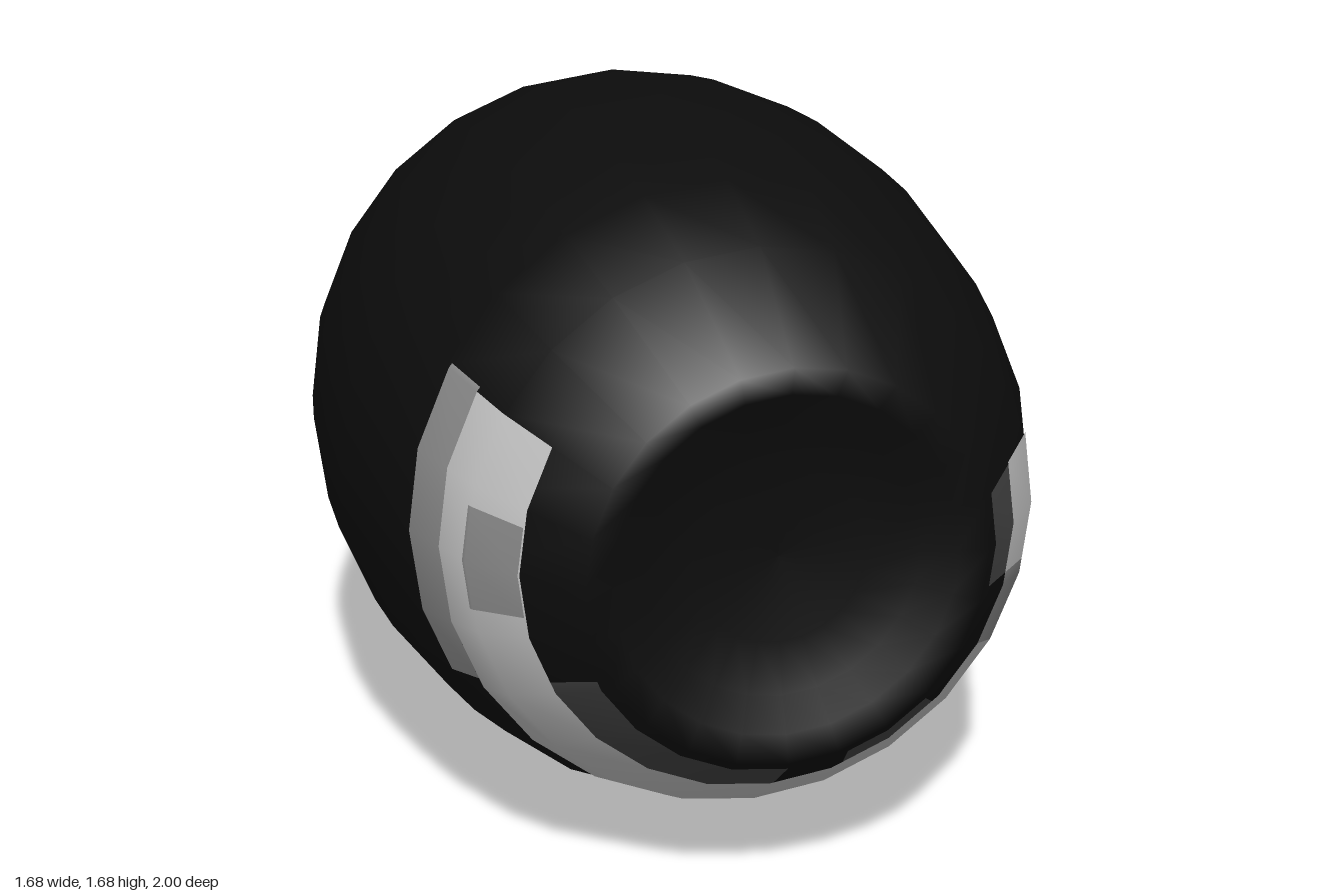
import * as THREE from 'three';

const SIDES = 24, CENTRE_Y = 0.84, STEP = Math.PI * 2 / SIDES;

// Barrel outline as [radius, z], back to front
const outline = [
  [0.59, -1], [0.645, -0.945], [0.71, -0.8], [0.762, -0.64], [0.803, -0.48], [0.83, -0.3], [0.84, -0.09],
  [0.83, 0.1], [0.80, 0.31], [0.757, 0.51], [0.665, 0.75], [0.465, 1],
];
// Hollow in the nose
const dish = [[0.40, 0.985], [0.32, 0.95], [0.2, 0.92], [0, 0.91]];

const mat = (name, color) => Object.assign(new THREE.MeshStandardMaterial({ color }), { name });

function radiusAt(z) {
  for (let i = 1; i < outline.length; i++) {
    const [r0, z0] = outline[i - 1], [r1, z1] = outline[i];
    if (z <= z1) return r0 + (r1 - r0) * (z - z0) / (z1 - z0);
  }
  return outline[outline.length - 1][0];
}

// Values from a to b, including any break points that lie between
const stops = (a, b, breaks) => [a, ...breaks.filter(v => v > a + 1e-4 && v < b - 1e-4), b];

// Thin painted patch that hugs the faceted barrel; angles in degrees from +x
function patchGeometry(fromDeg, toDeg, z0, z1, lift) {
  const corners = Array.from({ length: SIDES * 3 }, (_, i) => (i - SIDES * 1.5) * STEP);
  const angles = stops(fromDeg * Math.PI / 180, toDeg * Math.PI / 180, corners);
  const depths = stops(z0, z1, outline.map(p => p[1]));
  const pos = [], index = [], n = depths.length;
  angles.forEach((a, i) => depths.forEach((z, j) => {
    const within = a - Math.floor(a / STEP + 1e-6) * STEP;
    const facet = Math.cos(STEP / 2) / Math.cos(within - STEP / 2);
    const r = radiusAt(z) * facet + lift;
    pos.push(Math.cos(a) * r, Math.sin(a) * r, z);
    if (i && j) {
      const d = i * n + j, c = d - 1, b = d - n, e = b - 1;
      index.push(e, c, d, e, d, b);
    }
  }));
  const g = new THREE.BufferGeometry();
  g.setAttribute('position', new THREE.Float32BufferAttribute(pos, 3));
  g.setIndex(index);
  g.computeVertexNormals();
  return g;
}

export function createModel() {
  const group = new THREE.Group();
  const black = mat('black', 0x0c0c0c);
  const light = mat('light grey', 0xc6c6c6);
  const mid = mat('mid grey', 0x8c8c8c);
  const dark = mat('dark grey', 0x444444);

  const add = (name, geometry, material) => {
    const mesh = new THREE.Mesh(geometry, material);
    mesh.name = name;
    mesh.position.y = CENTRE_Y;
    group.add(mesh);
  };
  const lathe = points =>
    new THREE.LatheGeometry(points.map(p => new THREE.Vector2(...p)), SIDES).rotateX(Math.PI / 2);

  // Barrel body with hollow nose, and flat back
  add('body', lathe([...outline, ...dish]), black);
  add('backCap', lathe([[0, -1], outline[0]]), black);

  // Broad band round the lower front
  add('bandLeftEnd', patchGeometry(-12, 15, 0.645, 0.865, 0.004), light);
  add('bandShade', patchGeometry(-30, -12, 0.645, 0.865, 0.004), mid);
  add('band', patchGeometry(-210, -30, 0.645, 0.865, 0.004), light);

  // Grey patches beside the band: name, angles, depths, lift, colour
  const patches = [
    ['rightStrip', -211, -152, 0.53, 0.645, 0.004, mid],
    ['rightPatch', -191, -170, 0.74, 0.865, 0.008, mid],
    ['lowerLeftPatch', -48, -29, 0.53, 0.66, 0.007, mid],
    ['leftNosePatch', -12, 14.5, 0.865, 0.975, 0.004, dark],
    ['leftTail', 10, 14.5, 0.54, 0.645, 0.004, dark],
    ['lowerLeftNosePatch', -72, -47, 0.865, 0.97, 0.004, dark],
    ['lowerRightNosePatch', -153, -89, 0.865, 0.975, 0.004, dark],
  ];
  for (const [name, a0, a1, z0, z1, lift, material] of patches)
    add(name, patchGeometry(a0, a1, z0, z1, lift), material);

  return group;
}
